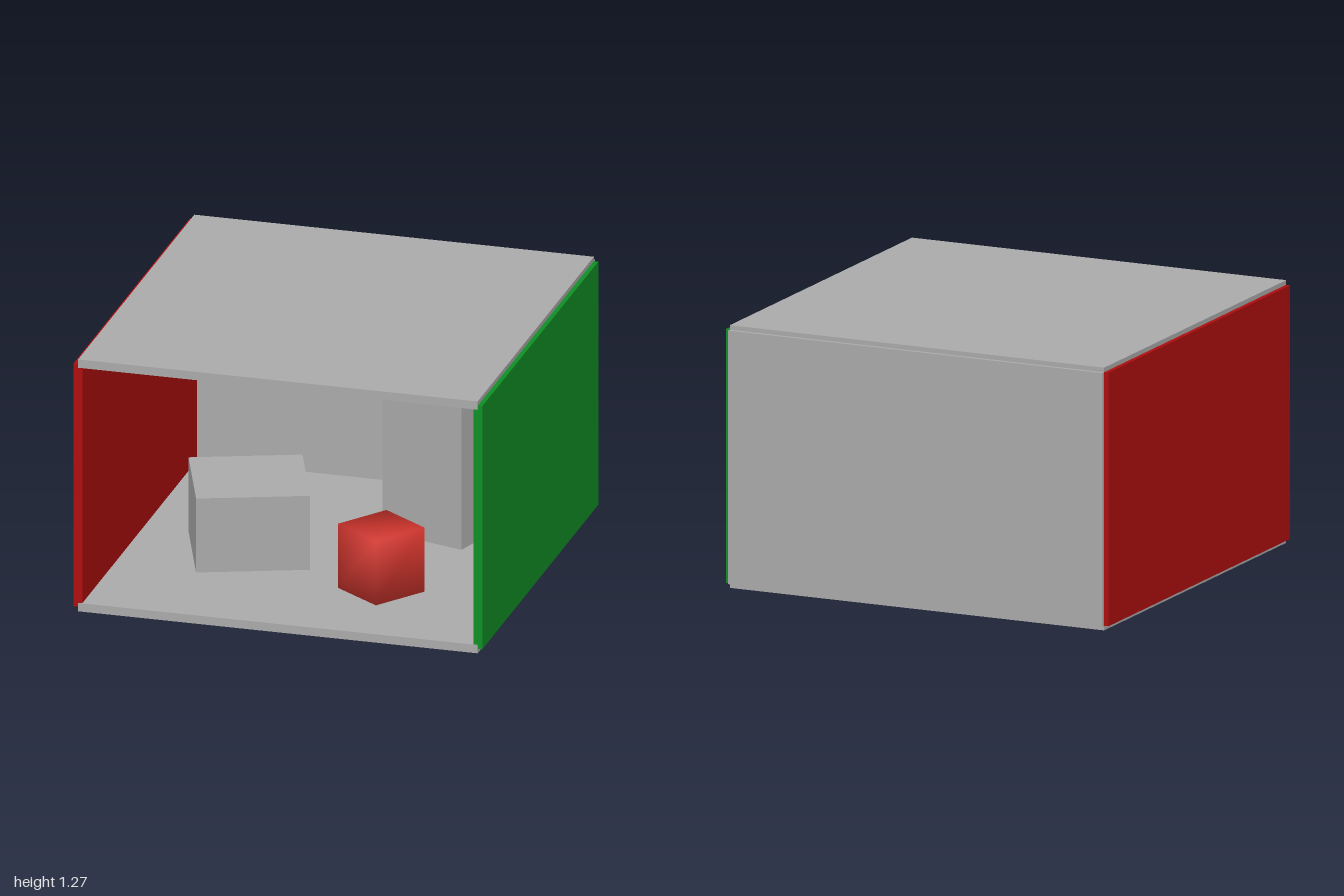
import * as THREE from 'three';
import { mergeVertices } from 'three/addons/utils/BufferGeometryUtils.js';

function material(name, color) {
  const m = new THREE.MeshStandardMaterial({ color });
  m.name = name;
  return m;
}

export function createModel() {
  const room = new THREE.Group();
  room.name = 'room';

  const grey = material('grey', 0xaaaaaa);
  const red = material('wall red', 0xae0d0d);
  const green = material('wall green', 0x0f8f24);
  const brightRed = material('bright red', 0xd8372f);

  // Box given by its size, centre and turn about the vertical axis
  function block(name, mat, size, centre, turn = 0) {
    const mesh = new THREE.Mesh(new THREE.BoxGeometry(...size), mat);
    mesh.name = name;
    mesh.position.set(...centre);
    mesh.rotation.y = THREE.MathUtils.degToRad(turn);
    room.add(mesh);
    return mesh;
  }

  // Room shell: slabs that overlap by half their thickness, open at the front
  const t = 0.042;
  const wallHeight = 1.226;
  const midY = 0.635;
  block('floor', grey, [1.956, t, 1.957], [0, t / 2, 0.0095]);
  block('ceiling', grey, [1.956, t, 1.957], [0, 1.27 - t / 2, 0.0095]);
  block('backWall', grey, [1.956, wallHeight, t], [0, midY, -0.988 + t / 2]);
  block('rightWall', red, [t, wallHeight, 1.954], [-1 + t / 2, midY, 0.009]);
  block('leftWall', green, [t, wallHeight, 1.954], [1 - t / 2, midY, 0.009]);

  // Blocks standing on the floor
  block('lowBlock', grey, [0.537, 0.373, 0.537], [-0.395, t + 0.1865, 0.11], 20);
  block('tallBlock', grey, [0.44, 0.763, 0.44], [0.412, t + 0.3815, -0.45], -16.6);
  const cube = block('redCube', brightRed, [0.29, 0.323, 0.29], [0.342, t + 0.1615, 0.425], -35.8);

  // The small cube shares its corner normals, so it is shaded smoothly
  cube.geometry.deleteAttribute('normal');
  cube.geometry.deleteAttribute('uv');
  cube.geometry = mergeVertices(cube.geometry);
  cube.geometry.clearGroups();
  cube.geometry.computeVertexNormals();

  return room;
}
